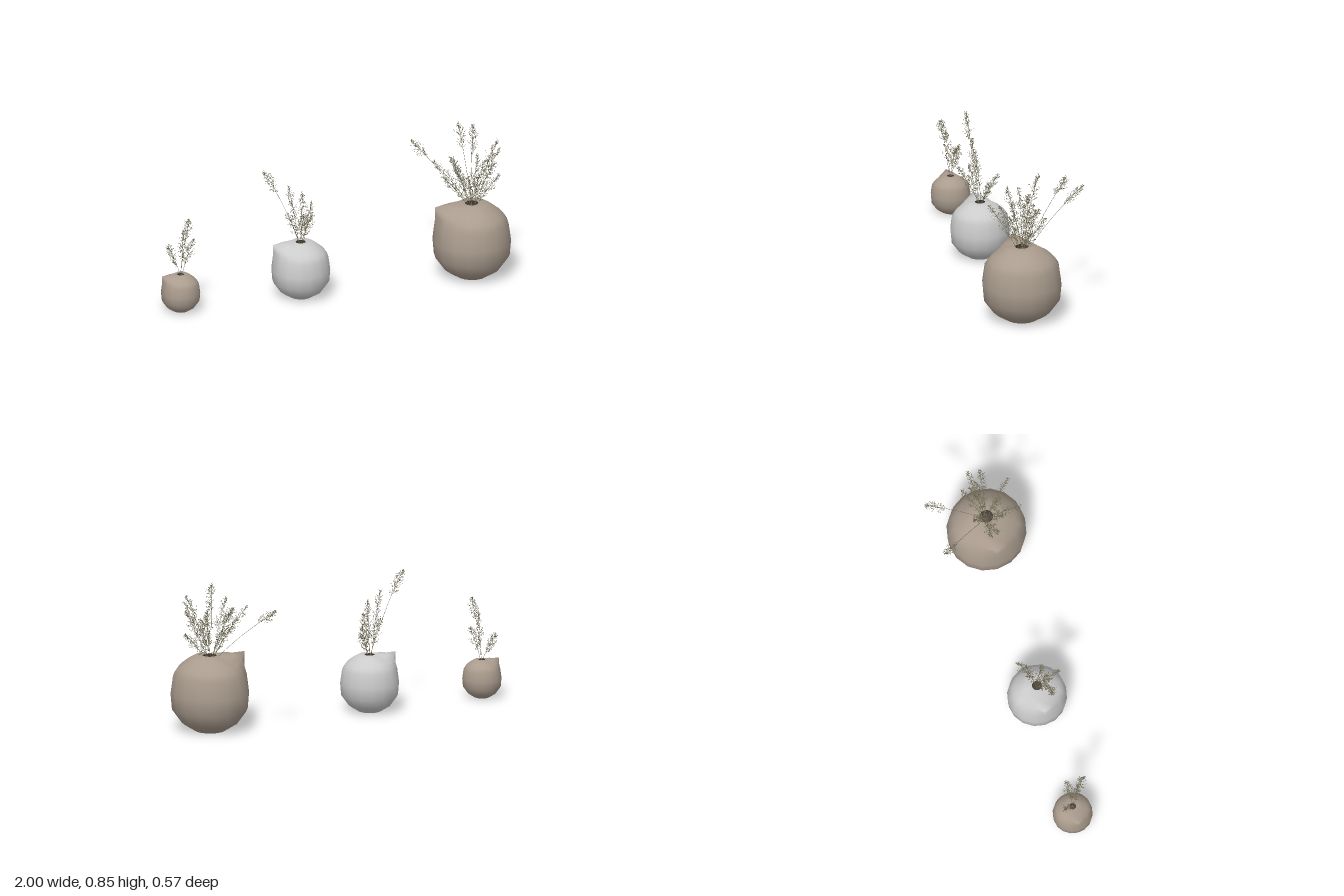
import * as THREE from 'three';
import { mergeVertices } from 'three/addons/utils/BufferGeometryUtils.js';

let seed = 7;
const rand = () => (seed = (seed * 16807) % 2147483647) / 2147483647;
const spread = (s) => (rand() * 2 - 1) * s;
const randomVector = () => new THREE.Vector3(spread(1), spread(1), spread(1)).normalize();
const V = (x, y, z) => new THREE.Vector3(x, y, z);
const points2 = (list) => list.map(([x, y]) => new THREE.Vector2(x, y));

const clay = new THREE.MeshStandardMaterial({ color: 0xaa9c8e });
const white = new THREE.MeshStandardMaterial({ color: 0xcccccc });
const dark = new THREE.MeshStandardMaterial({ color: 0x4a4038, side: THREE.DoubleSide });
const dried = new THREE.MeshStandardMaterial({ color: 0x77735c, side: THREE.DoubleSide });

const HALF = 0.21, FLAT = 0.085, MOUTH = 0.037;

function mesh(geometry, material, name) {
  const m = new THREE.Mesh(geometry, material);
  m.name = name;
  return m;
}

// Ball with a flat foot, drawn out to a cone-shaped point towards -x and +y
function bodyGeometry() {
  const profile = [
    [FLAT, -HALF], [0.157, -0.165], [0.212, -0.09], [0.22, 0], [0.206, 0.1], [0.183, 0.135],
    [0.16, 0.16], [0.123, 0.188], [FLAT, HALF], [MOUTH, HALF],
  ];
  let geo = new THREE.LatheGeometry(points2(profile), 16);
  const pos = geo.attributes.position;
  const axis = V(-1, 1, 0).normalize();
  const p = V(0, 0, 0);
  for (let i = 0; i < pos.count; i++) {
    p.fromBufferAttribute(pos, i);
    const angle = p.angleTo(axis);
    if (angle < Math.PI / 4) p.setLength(0.218 / Math.cos(Math.PI / 4 - angle));
    pos.setXYZ(i, Math.max(p.x * 0.977, -0.215), Math.min(p.y, HALF), p.z);
  }
  geo.deleteAttribute('normal');
  geo.deleteAttribute('uv');
  geo = mergeVertices(geo, 1e-5);
  geo.computeVertexNormals();
  return geo;
}

function makeVase(material) {
  const vase = new THREE.Group();
  vase.name = 'vase';
  vase.add(mesh(bodyGeometry(), material, 'body'));
  const foot = mesh(new THREE.CircleGeometry(FLAT, 16), material, 'foot');
  foot.rotation.x = Math.PI / 2;
  foot.scale.x = 0.977;
  foot.position.y = -HALF;
  vase.add(foot);
  // Dark hollow under the mouth
  const hollow = points2([[0, 0.1], [0.05, 0.1], [0.05, 0.17], [MOUTH, HALF]]);
  vase.add(mesh(new THREE.LatheGeometry(hollow, 16), dark, 'hollow'));
  return vase;
}

// Thin three-sided spike from a to b
function addTwig(out, a, b, r) {
  const dir = b.clone().sub(a).normalize();
  const u = dir.clone().cross(V(0.31, 0.2, 0.93)).normalize().multiplyScalar(r);
  const ring = [0, 1, 2].map((k) => u.clone().applyAxisAngle(dir, (k * 2 * Math.PI) / 3).add(a));
  for (let k = 0; k < 3; k++) out.push(ring[k], ring[(k + 1) % 3], b);
}

// Small diamond-shaped seed husk
function addSeed(out, at, dir, length, width) {
  const side = dir.clone().cross(randomVector()).normalize().multiplyScalar(width);
  const mid = at.clone().addScaledVector(dir, length * 0.45);
  const tip = at.clone().addScaledVector(dir, length);
  const l = mid.clone().add(side), r = mid.clone().sub(side);
  out.push(at, r, l, l, r, tip);
}

// Dry grass stalk: curved stem with a feathery plume over its upper part
function makeSprig(base, tip, plumeLength) {
  const sprig = new THREE.Group();
  sprig.name = 'grassSprig';
  const bend = V(base.x + (tip.x - base.x) * 0.42, base.y + (tip.y - base.y) * 0.55, base.z + (tip.z - base.z) * 0.42);
  const curve = new THREE.QuadraticBezierCurve3(base, bend, tip);
  sprig.add(mesh(new THREE.TubeGeometry(curve, 10, 0.001, 4), dried, 'stem'));

  const out = [];
  const start = Math.max(0.3, 1 - plumeLength / curve.getLength());
  const count = 36;
  for (let i = 0; i < count; i++) {
    const s = i / (count - 1);
    const t = start + (1 - start) * s * 0.95;
    const from = curve.getPoint(t);
    const along = curve.getTangent(t);
    const outward = randomVector().projectOnPlane(along).normalize();
    const dir = along.multiplyScalar(0.8).addScaledVector(outward, 0.75 - 0.3 * s).normalize();
    const length = (0.035 + 0.035 * Math.sin(Math.PI * s)) * (0.55 + 0.45 * rand()) * (1 - 0.55 * s);
    const to = from.clone().addScaledVector(dir, length);
    addTwig(out, from, to, 0.0005);
    for (let k = 0; k < 9; k++) {
      const at = from.clone().lerp(to, 0.3 + 0.7 * (k / 8));
      const lean = dir.clone().addScaledVector(randomVector(), 1.3).normalize();
      addSeed(out, at, lean, 0.006 + 0.006 * rand(), 0.0011);
    }
  }
  const geo = new THREE.BufferGeometry().setFromPoints(out);
  geo.computeVertexNormals();
  sprig.add(mesh(geo, dried, 'plume'));
  return sprig;
}

// Position, scale, material and sprig tips (x, y, z, plume length) of each vase
const SETS = [
  { name: 'largeVase', x: 0.785, z: 0.065, scale: 1, material: clay, tips: [
    [0.82, 0.84, -0.02, 0.18], [0.82, 0.76, -0.27, 0.15], [0.54, 0.7, -0.24, 0.12],
    [0.93, 0.77, 0.07, 0.2], [0.965, 0.7, 0.01, 0.2], [0.57, 0.68, 0.03, 0.24],
    [0.71, 0.65, 0.235, 0.26], [0.87, 0.7, 0.21, 0.26], [0.66, 0.72, 0.12, 0.2],
    [0.95, 0.56, 0.05, 0.2], [0.9, 0.62, -0.04, 0.22], [0.61, 0.6, 0.08, 0.22],
    [0.72, 0.6, -0.03, 0.2], [0.8, 0.61, 0.14, 0.2], [0.68, 0.68, 0.0, 0.24],
    [0.84, 0.68, 0.01, 0.22] ] },
  { name: 'mediumVase', x: -0.2, z: 0.062, scale: 0.75, material: white, tips: [
    [-0.42, 0.76, 0.09, 0.16], [-0.28, 0.66, 0.09, 0.22], [-0.2, 0.61, 0.09, 0.22],
    [-0.11, 0.5, -0.02, 0.17], [-0.29, 0.5, 0.1, 0.16], [-0.22, 0.52, 0.18, 0.18],
    [-0.12, 0.45, 0.02, 0.14] ] },
  { name: 'smallVase', x: -0.8925, z: 0.06, scale: 0.5, material: clay, tips: [
    [-0.865, 0.545, 0.125, 0.13], [-0.885, 0.47, 0.09, 0.19], [-0.815, 0.4, 0.05, 0.15],
    [-0.945, 0.36, 0, 0.13] ] },
];

export function createModel() {
  const model = new THREE.Group();
  model.name = 'vasesWithDriedGrass';
  for (const { name, x, z, scale, material, tips } of SETS) {
    const set = new THREE.Group();
    set.name = name;
    const vase = makeVase(material);
    vase.scale.setScalar(scale);
    vase.position.set(x, HALF * scale, z);
    set.add(vase);
    for (const [tx, ty, tz, plume] of tips) {
      const base = V(x + spread(0.012) * scale, HALF * 1.75 * scale, z + spread(0.012) * scale);
      set.add(makeSprig(base, V(tx, ty, tz), plume));
    }
    model.add(set);
  }
  return model;
}
